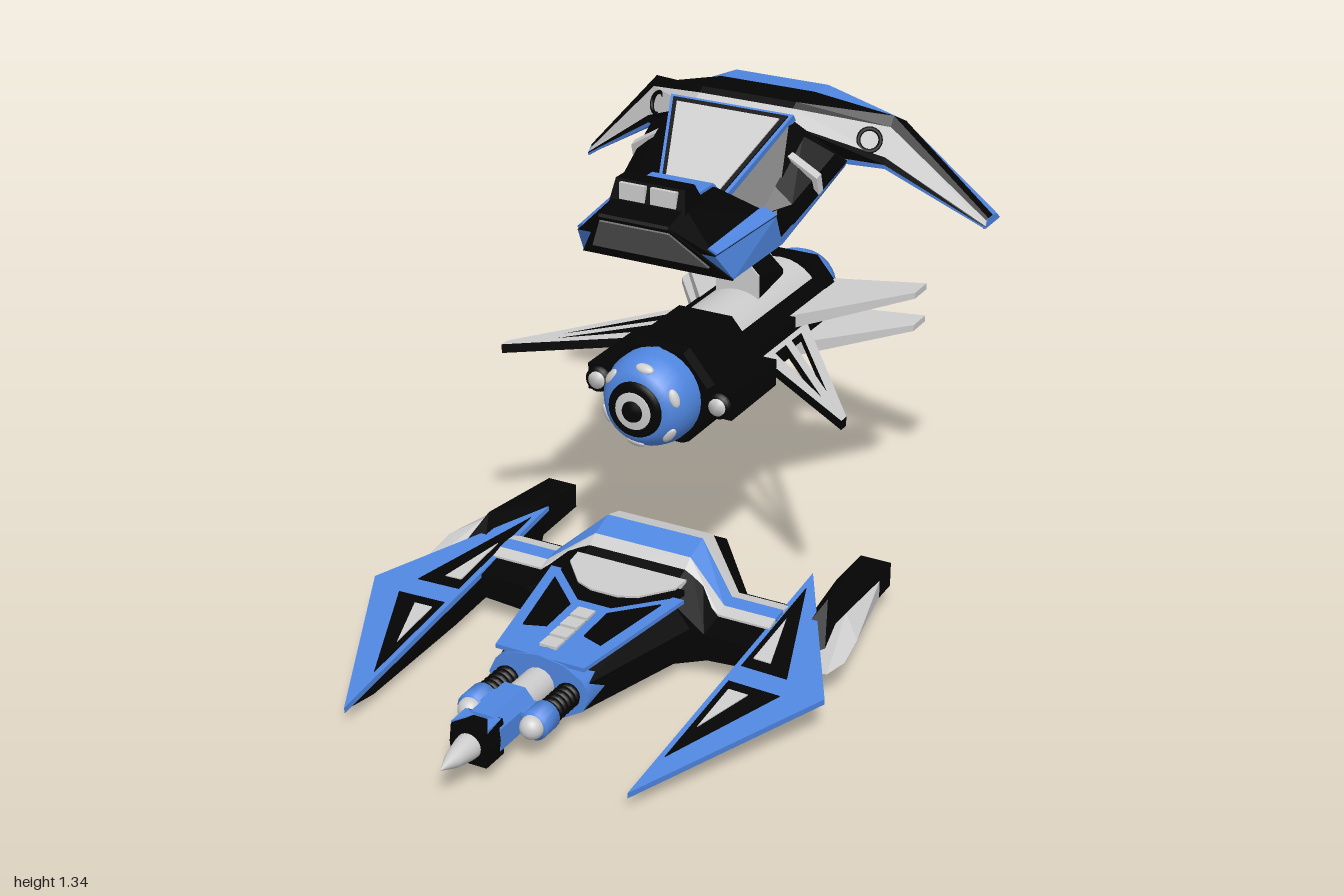
import * as THREE from 'three';
import { ConvexGeometry } from 'three/addons/geometries/ConvexGeometry.js';

const mat = (c) => new THREE.MeshStandardMaterial({ color: c, side: THREE.DoubleSide });
const GREY = mat(0xcccccc), BLUE = mat(0x4f86e0), BLACK = mat(0x040404), DARK = mat(0x6a6a6a);
const flip = (pts) => pts.map(([x, y, z]) => [-x, y, z]);
const vec = (p) => new THREE.Vector3(...p);

export function createModel() {
  const model = new THREE.Group();
  let group;
  const section = (name) => { group = new THREE.Group(); group.name = name; model.add(group); };
  const add = (name, m, geo, x = 0, y = 0, z = 0) => {
    const mesh = new THREE.Mesh(geo, m);
    mesh.name = name;
    mesh.position.set(x, y, z);
    group.add(mesh);
    return mesh;
  };
  // faceted solid around points, mirrored into one solid (sym) or two (pair)
  const solid = (name, m, pts) => add(name, m, new ConvexGeometry(pts.map(vec)));
  const sym = (name, m, pts) => solid(name, m, [...pts, ...flip(pts)]);
  const pair = (name, m, pts) => { solid(name, m, pts); solid(name, m, flip(pts)); };
  // flat plate of half-thickness t through coplanar points
  const thick = (pts, t) => {
    const [a, b, c] = pts.map(vec);
    const n = b.sub(a).cross(c.sub(a)).normalize().multiplyScalar(t);
    return pts.flatMap(([x, y, z]) => [[x + n.x, y + n.y, z + n.z], [x - n.x, y - n.y, z - n.z]]);
  };
  const symPlate = (name, m, pts, t) => solid(name, m, thick([...pts, ...flip(pts)], t));
  const pairPlate = (name, m, pts, t) => pair(name, m, thick(pts, t));
  const ribbon = (name, m, a, b) => {
    const pos = [];
    for (let i = 0; i < a.length - 1; i++) pos.push(...a[i], ...a[i + 1], ...b[i], ...a[i + 1], ...b[i + 1], ...b[i]);
    const g = new THREE.BufferGeometry();
    g.setAttribute('position', new THREE.Float32BufferAttribute(pos, 3));
    g.computeVertexNormals();
    add(name, m, g);
  };
  // turned part along z from [radius, z] points
  const turned = (name, m, pts, x, y, seg = 32) =>
    add(name, m, new THREE.LatheGeometry(pts.map(([r, z]) => new THREE.Vector2(r, z)), seg).rotateX(Math.PI / 2), x, y, 0);
  const box = (name, m, w, h, d, x, y, z) => add(name, m, new THREE.BoxGeometry(w, h, d), x, y, z);

  // ---------- upper cabin with drooped wing ----------
  section('upperCabin');
  const front = [[0.22, 1.03, -0.09], [0.2, 1.11, -0.025], [0.1, 1.19, 0.04]];
  const dip = [[0.22, 1.03, -0.37], [0.225, 1.125, -0.32], [0.09, 1.16, -0.28]];
  const back = [[0.27, 1.17, -0.64], [0.28, 1.19, -0.63], [0.17, 1.33, -0.5]];
  const dipLow = [0.222, 1.055, -0.36];
  sym('cabinLowerHull', BLUE, [front[0], front[1], dip[0], dip[1]]);
  sym('cabinUpperHull', BLACK, [front[1], front[2], [0.1, 1.215, -0.05], [0.1, 1.215, -0.22], dip[1], dip[2]]);
  sym('cabinRearLower', BLUE, [dip[0], dipLow, back[0], back[1]]);
  sym('cabinRearUpper', BLACK, [dipLow, dip[1], dip[2], back[1], back[2]]);
  symPlate('noseFrame', BLACK, [front[0], front[2]], 0.005);
  symPlate('nosePanel', DARK, [[0.17, 1.07, -0.057], [0.1, 1.178, 0.03]], 0.01);
  symPlate('canopyFrame', BLUE, [[0.1, 1.165, -0.28], [0.182, 1.332, -0.505]], 0.012);
  symPlate('canopyRim', BLACK, [[0.09, 1.168, -0.284], [0.17, 1.327, -0.498]], 0.016);
  symPlate('canopy', GREY, [[0.08, 1.172, -0.29], [0.152, 1.318, -0.486]], 0.02);
  symPlate('cabinDeck', BLUE, [[0.09, 1.217, -0.145], [0.09, 1.217, -0.225]], 0.006);
  symPlate('cabinDeckSlope', BLUE, [[0.09, 1.215, -0.225], [0.09, 1.165, -0.28]], 0.006);
  pairPlate('cabinSideStripe', BLUE, [[0.2, 1.112, -0.03], [0.225, 1.127, -0.32], [0.19, 1.15, -0.3], [0.18, 1.128, -0.02]], 0.006);
  sym('cockpitBlock', BLACK, [[0.11, 1.2, -0.03], [0.1, 1.262, -0.05], [0.1, 1.262, -0.1], [0.11, 1.2, -0.14]]);
  for (const s of [-1, 1]) box('cockpitWindow', GREY, 0.075, 0.045, 0.012, s * 0.045, 1.234, -0.04);
  pair('sideBlock', BLACK, [[0.19, 1.13, -0.3], [0.25, 1.09, -0.37], [0.25, 1.15, -0.36], [0.285, 1.19, -0.61], [0.2, 1.28, -0.52], [0.275, 1.23, -0.56], [0.2, 1.19, -0.36]]);
  pairPlate('sideBlockStripe', GREY, [[0.19, 1.255, -0.45], [0.278, 1.2, -0.46], [0.278, 1.15, -0.475]], 0.012);

  // wing edge lines [y, z] at the centre, bend, shoulder and tip
  const xs = [0, 0.14, 0.36, 0.615];
  const lines = [
    [[1.17, -0.64], [1.17, -0.64], [1.16, -0.695], [1.0, -0.8]],
    [[1.19, -0.635], [1.19, -0.635], [1.172, -0.693], [1.005, -0.8]],
    [[1.3, -0.535], [1.3, -0.535], [1.193, -0.695], [1.008, -0.802]],
    [[1.328, -0.58], [1.328, -0.58], [1.268, -0.728], [1.016, -0.815]],
    [[1.34, -0.6], [1.34, -0.6], [1.295, -0.745], [1.025, -0.82]],
    [[1.337, -0.71], [1.337, -0.71], [1.255, -0.83], [1.025, -0.85]],
    [[1.33, -0.8], [1.33, -0.8], [1.225, -0.87], [1.02, -0.88]],
    [[1.2, -0.905], [1.2, -0.905], [1.14, -0.905], [1.0, -0.905]],
  ].map((l) => {
    const half = l.map(([y, z], i) => [xs[i], y, z]);
    return [...flip(half.slice(1)).reverse(), ...half];
  });
  const bands = [['wingLeadingEdge', BLUE], ['wingFrontRecess', BLACK], ['wingFrontPanel', GREY], ['wingFrontTrim', BLACK], ['wingTopBand', BLACK], ['wingRearTop', BLUE], ['wingBack', BLUE], ['wingUnderside', BLUE]];
  bands.forEach(([name, m], i) => ribbon(name, m, lines[i], lines[(i + 1) % 8]));
  for (const side of [0, 6]) {
    const tip = lines.map((l) => l[side]);
    solid('wingTip', BLUE, [...tip, ...tip.map(([x, y, z]) => [x * 0.99, y, z])]);
  }
  for (const s of [-1, 1]) {
    const ring = add('wingRing', BLACK, new THREE.TorusGeometry(0.03, 0.006, 8, 24), s * 0.32, 1.24, -0.68);
    ring.lookAt(s * 0.46, 1.33, -0.44);
  }

  // ---------- middle engine ----------
  section('engine');
  const cy = 0.665;
  const octagon = (z, k = 1) => [[0.08, 0.135], [0.155, 0.045], [0.155, -0.045], [0.08, -0.135]].map(([x, y]) => [x * k, cy + y * k, z]);
  sym('frontCollar', BLACK, [...octagon(-0.09, 0.95), ...octagon(-0.12), ...octagon(-0.36)]);
  sym('rearCollar', BLACK, [...octagon(-0.82), ...octagon(-0.87), ...octagon(-0.91, 0.88)]);
  turned('engineBarrel', GREY, [[0.13, -0.83], [0.13, -0.35]], 0, cy);
  pair('engineSpine', BLACK, [-0.3, -0.88].flatMap((z) => [[0.1, 0.752, z], [0.15, 0.72, z], [0.15, 0.61, z], [0.1, 0.58, z]]));
  turned('noseDome', BLUE, [[0.13, -0.1], [0.13, -0.05], [0.12, -0.015], [0.1, 0.015], [0.075, 0.03], [0, 0.031]], 0, cy);
  turned('noseOuterRing', BLACK, [[0.08, 0.015], [0.076, 0.036], [0.066, 0.043], [0, 0.043]], 0, cy);
  turned('noseInnerRing', GREY, [[0.054, 0.04], [0.05, 0.047], [0, 0.047]], 0, cy);
  turned('noseHub', BLACK, [[0.032, 0.04], [0.028, 0.052], [0, 0.052]], 0, cy);
  for (let i = 0; i < 6; i++) {
    const a = 0.4 + (i * Math.PI) / 3;
    const port = new THREE.SphereGeometry(1, 16, 8).scale(0.014, 0.026, 0.008).rotateY(0.8).rotateZ(a);
    add('nosePort', GREY, port, 0.109 * Math.cos(a), cy + 0.109 * Math.sin(a), 0.003);
  }
  turned('nozzle', BLUE, [[0.1, -0.9], [0.116, -0.91], [0.112, -0.95], [0.095, -0.99], [0.078, -0.985], [0.07, -0.95]], 0, cy);
  turned('nozzleCore', GREY, [[0.078, -0.96], [0.05, -0.945], [0, -0.94]], 0, cy);
  const finFront = [[0.065, 0.77, -0.55], [0.065, 0.845, -0.55], [0, 0.908, -0.55]];
  const finBack = [[0.05, 0.74, -0.73], [0.05, 0.8, -0.73], [0, 0.845, -0.73]];
  sym('topFin', BLACK, [...finFront, ...finBack]);
  symPlate('topFinFront', GREY, finFront, 0.003);
  symPlate('topFinBack', GREY, finBack, 0.003);
  for (const s of [-1, 1]) {
    box('sidePod', BLACK, 0.08, 0.075, 0.26, s * 0.175, cy, -0.23);
    turned('sidePodRing', BLACK, [[0.034, -0.11], [0.034, -0.085], [0, -0.085]], s * 0.18, cy, 20);
    turned('sidePodLamp', GREY, [[0.024, -0.11], [0.024, -0.08], [0, -0.08]], s * 0.18, cy, 20);
    // forward-swept open strut wing
    const path = (P, pts) => new P(pts.map(([x, z]) => new THREE.Vector2(s * x, z)));
    const strut = path(THREE.Shape, [[0.13, -0.71], [0.51, -0.17], [0.51, -0.14], [0.13, -0.42]]);
    strut.holes.push(path(THREE.Path, [[0.17, -0.605], [0.4, -0.285], [0.17, -0.545]]), path(THREE.Path, [[0.17, -0.51], [0.4, -0.25], [0.17, -0.445]]));
    add('strutWing', [GREY, BLACK], new THREE.ExtrudeGeometry(strut, { depth: 0.026, bevelEnabled: false }).rotateX(Math.PI / 2), 0, cy + 0.013, 0);
    for (const v of [-1, 1]) {
      const fin = [];
      for (const [x, z, t] of [[0.13, -0.58, 0.02], [0.37, -0.92, 0.009], [0.37, -1, 0.009], [0.13, -0.9, 0.02]])
        for (const h of [-t, t]) fin.push([s * x, cy + v * (0.042 + (x - 0.13) * 0.03) + h, z]);
      solid('tailFin', GREY, fin);
    }
  }

  // ---------- lower fighter ----------
  section('fighter');
  // arched crossbar rings: outer z, centre z, centre top, arm top, bottom z
  const rings = [[0.15, 0.12, 0.19, 0.13, 0.15], [0.07, 0.04, 0.205, 0.14, 0.07], [0.035, -0.01, 0.24, 0.15, 0.03], [-0.01, -0.08, 0.265, 0.155, -0.02], [-0.05, -0.14, 0.25, 0.148, -0.07], [-0.1, -0.22, 0.21, 0.13, -0.17]];
  const crown = ([, zc, t], d = 0) => [0.145, t + d, zc];
  const knee = ([zo, , , a], d = 0) => [0.27, a + d, zo];
  const arm = ([zo, , , a], d = 0) => [0.42, a + d, zo];
  const keel = (r) => [0.15, 0.005, r[4]];
  const lowKnee = (r) => [0.28, 0.055, r[0]];
  const lowArm = (r) => [0.42, 0.065, r[0]];
  sym('crossbarCentre', BLACK, rings.flatMap((r) => [crown(r), keel(r)]));
  pair('crossbarShoulder', BLACK, rings.flatMap((r) => [crown(r), keel(r), knee(r), lowKnee(r)]));
  pair('crossbarArm', BLACK, rings.flatMap((r) => [knee(r), lowKnee(r), arm(r), lowArm(r)]));
  [['greyBand', GREY], ['blueBand', BLUE], ['rearGreyBand', GREY]].forEach(([name, m], i) => {
    const two = [rings[i + 1], rings[i + 2]];
    sym(name, m, two.flatMap((r) => [crown(r, 0.01), crown(r, -0.025)]));
    for (const [p, q] of [[crown, knee], [knee, arm]])
      pair(name, m, two.flatMap((r) => [p(r, 0.01), p(r, -0.025), q(r, 0.01), q(r, -0.025)]));
  });
  const rear = (x, y) => [x, y, -0.217 + (0.19 - y) * 0.2545];
  symPlate('rearPanelRim', BLACK, [rear(0.14, 0.2), rear(0.2, 0.1), rear(0.15, 0.01)], 0.008);
  symPlate('rearPanel', GREY, [rear(0.125, 0.188), rear(0.18, 0.1), rear(0.135, 0.024)], 0.012);

  // tapering fuselage and its deck
  sym('fuselage', BLACK, [[0.08, 0.03, 0.53], [0.13, 0.06, 0.53], [0.13, 0.13, 0.53], [0.08, 0.17, 0.53], [0.14, 0.005, 0.1], [0.23, 0.05, 0.12], [0.23, 0.13, 0.12], [0.15, 0.195, 0.12]]);
  add('collar', BLUE, new THREE.CylinderGeometry(1, 1, 0.08, 12).rotateX(Math.PI / 2).scale(0.148, 0.086, 1), 0, 0.1, 0.495);
  const deck = (x, z) => [x, 0.198 - (z - 0.12) * 0.055, z];
  symPlate('deckFrame', BLUE, [deck(0.2, 0.13), deck(0.13, 0.53)], 0.006);
  symPlate('deckGap', BLACK, [deck(0.18, 0.09), deck(0.165, 0.14), deck(0.05, 0.25)], 0.009);
  symPlate('cockpitGlass', GREY, [deck(0.165, 0.05), deck(0.16, 0.1), deck(0.09, 0.18), deck(0.04, 0.2)], 0.015);
  pairPlate('deckWindow', BLACK, [deck(0.16, 0.18), deck(0.055, 0.28), deck(0.055, 0.4), deck(0.115, 0.42)], 0.01);
  for (let i = 0; i < 4; i++) box('deckRung', GREY, 0.05, 0.03, 0.045, 0, 0.186 - i * 0.003, 0.31 + i * 0.052);

  // nose assembly
  turned('noseShaft', GREY, [[0.045, 0.5], [0.045, 0.68]], 0, 0.105, 16);
  for (const s of [-1, 1]) {
    for (let i = 0; i < 6; i++) add('springCoil', BLACK, new THREE.TorusGeometry(0.024, 0.011, 8, 16), s * 0.09, 0.1, 0.545 + i * 0.02);
    turned('thruster', BLUE, [[0, 0.645], [0.04, 0.65], [0.04, 0.715], [0, 0.72]], s * 0.09, 0.1, 16);
    add('thrusterBall', GREY, new THREE.SphereGeometry(0.032, 20, 12), s * 0.09, 0.1, 0.72);
  }
  box('thrusterBridge', BLUE, 0.18, 0.06, 0.065, 0, 0.1, 0.682);
  sym('noseBlock', BLUE, [0.65, 0.81].flatMap((z) => [[0.03, 0.045, z], [0.055, 0.07, z], [0.055, 0.13, z], [0.03, 0.16, z]]));
  sym('noseCap', BLACK, [0.79, 0.87].flatMap((z) => [[0.05, 0.05, z], [0.055, 0.1, z], [0.05, 0.15, z]]));
  pair('noseCapTrim', BLUE, [[0.012, 0.154, 0.8], [0.052, 0.156, 0.8], [0.052, 0.154, 0.865], [0.052, 0.146, 0.865]]);
  turned('noseSpike', GREY, [[0.036, 0.86], [0.033, 0.89], [0.022, 0.945], [0, 1]], 0, 0.1, 20);

  // side blades: tilted blue sheet over a black wedge
  const blade = (x, z) => [x, 0.146 - z * 0.119 - (x - 0.41) * 0.03, z];
  const tipF = blade(0.41, 0.81), tipO = blade(0.675, 0.27), tipR = blade(0.41, -0.21);
  pairPlate('bladeTop', BLUE, [tipF, tipO, tipR], 0.008);
  pair('bladeBelly', BLACK, [tipF, tipO, tipR, [0.41, 0.03, 0.68], [0.42, 0.03, 0.27], [0.42, 0.06, -0.18]]);
  // inset triangles: a black well with a grey floor
  for (const [z, xo, zEnd] of [[0.24, 0.555, -0.14], [0.31, 0.57, 0.65]]) {
    const at = (u, v) => blade(0.425 + u * (xo - 0.425), z + v * (zEnd - z));
    pairPlate('bladeInset', BLACK, [at(0, 0), at(1, 0), at(0, 1)], 0.01);
    pairPlate('bladeInsetFloor', GREY, [at(0.12, 0.1), at(0.5, 0.1), at(0.12, 0.6)], 0.013);
  }
  // nacelles trailing from the blades
  pair('nacelle', BLACK, [[0.45, 0.07, -0.43], [0.54, 0.07, -0.43], [0.54, 0.14, -0.43], [0.45, 0.14, -0.43], [0.45, 0.06, -0.2], [0.54, 0.15, -0.25], [0.46, 0.15, -0.25], [0.52, 0.195, -0.07], [0.57, 0.09, 0.05], [0.45, 0.06, 0.1]]);
  pair('nacelleFairing', GREY, [[0.52, 0.075, -0.34], [0.548, 0.08, -0.34], [0.548, 0.13, -0.34], [0.625, 0.12, -0.03], [0.632, 0.1, 0.06], [0.56, 0.15, -0.1], [0.5, 0.07, 0.1], [0.61, 0.09, 0.12]]);
  for (const s of [-1, 1]) box('nacelleVent', GREY, 0.05, 0.035, 0.01, s * 0.495, 0.105, -0.429);

  return model;
}
